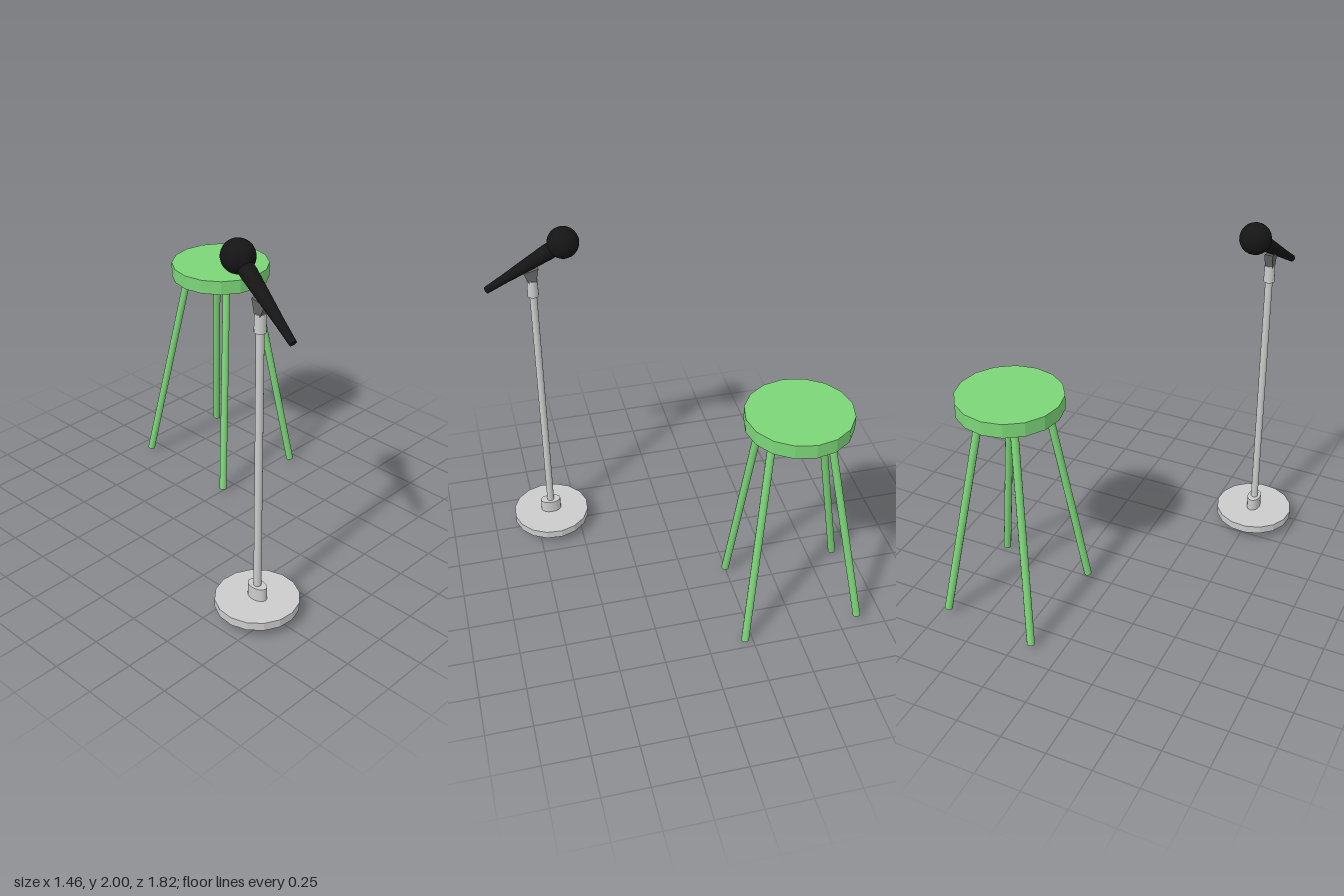
import * as THREE from 'three';

const green = new THREE.MeshStandardMaterial({ color: 0x7cd678, flatShading: true });
const legGreen = new THREE.MeshStandardMaterial({ color: 0x7cd678 });
const grey = new THREE.MeshStandardMaterial({ color: 0xcccccc });
const flatGrey = new THREE.MeshStandardMaterial({ color: 0xcccccc, flatShading: true });
const darkGrey = new THREE.MeshStandardMaterial({ color: 0x666666, flatShading: true });
const black = new THREE.MeshStandardMaterial({ color: 0x151515 });
const UP = new THREE.Vector3(0, 1, 0);

function add(parent, name, geometry, material, x = 0, y = 0, z = 0) {
  const mesh = new THREE.Mesh(geometry, material);
  mesh.name = name;
  mesh.position.set(x, y, z);
  parent.add(mesh);
  return mesh;
}

// Upright cylinder between two heights
function column(parent, name, rTop, rBottom, y0, y1, sides, material) {
  const geometry = new THREE.CylinderGeometry(rTop, rBottom, y1 - y0, sides);
  return add(parent, name, geometry, material, 0, (y0 + y1) / 2, 0);
}

function createStool() {
  const stool = new THREE.Group();
  stool.name = 'stool';
  column(stool, 'seat', 0.282, 0.282, 1.235, 1.315, 16, green).position.add(new THREE.Vector3(0.424, 0, -0.528));

  // Splayed legs: [foot, top] under the seat
  const legs = [
    ['frontLeftLeg', [0.7, 0.008, -0.207], [0.522, 1.24, -0.358]],
    ['frontRightLeg', [0.15, 0.025, -0.246], [0.31, 1.24, -0.37]],
    ['backLeftLeg', [0.7, 0.046, -0.848], [0.525, 1.24, -0.66]],
    ['backRightLeg', [0.165, 0.028, -0.892], [0.315, 1.24, -0.682]],
  ];
  for (const [name, foot, top] of legs) {
    const a = new THREE.Vector3(...foot), b = new THREE.Vector3(...top);
    const axis = b.clone().sub(a);
    const leg = add(stool, name, new THREE.CylinderGeometry(0.021, 0.021, axis.length(), 12), legGreen);
    leg.position.copy(a).add(b).multiplyScalar(0.5);
    leg.quaternion.setFromUnitVectors(UP, axis.normalize());
  }
  return stool;
}

function createStand() {
  const stand = new THREE.Group();
  stand.name = 'microphoneStand';
  stand.position.set(-0.516, 0, 0.66);

  const base = column(stand, 'base', 0.22, 0.22, 0.057, 0.102, 16, flatGrey);
  base.rotation.y = 0.12;
  // Oval collar where the pole meets the base
  column(stand, 'collar', 0.037, 0.037, 0.1, 0.175, 16, grey).scale.z = 1.57;
  column(stand, 'pole', 0.02, 0.02, 0.17, 1.62, 16, grey);
  column(stand, 'poleCap', 0.028, 0.03, 1.605, 1.7, 16, grey);

  // Clip flaring upward, its top sloped along the microphone (shape x runs backward)
  const profile = new THREE.Shape([
    [-0.018, 1.69], [0.018, 1.69], [0.036, 1.772], [-0.044, 1.752],
  ].map(([x, y]) => new THREE.Vector2(x, y)));
  const clip = new THREE.ExtrudeGeometry(profile, { depth: 0.044, bevelEnabled: false });
  clip.translate(0, 0, -0.022);
  clip.rotateY(Math.PI / 2);
  add(stand, 'clip', clip, darkGrey);
  return stand;
}

function createMicrophone() {
  const mic = new THREE.Group();
  mic.name = 'microphone';
  const tail = new THREE.Vector3(-0.561, 1.645, 0.9);
  const head = new THREE.Vector3(-0.484, 1.918, 0.489);
  const axis = head.clone().sub(tail);
  const length = axis.length();

  // Local y runs from the tail to the centre of the head
  mic.position.copy(tail);
  mic.quaternion.setFromUnitVectors(UP, axis.normalize());
  const profile = [
    [0, 0], [0.019, 0], [0.019, 0], [0.025, 0.13], [0.03, 0.2], [0.043, 0.4], [0.043, 0.4], [0.04, length],
  ].map(([r, y]) => new THREE.Vector2(r, y));
  add(mic, 'handle', new THREE.LatheGeometry(profile, 20), black);
  add(mic, 'head', new THREE.SphereGeometry(0.084, 24, 16), black, 0, length, 0);
  return mic;
}

export function createModel() {
  const model = new THREE.Group();
  model.name = 'stageSet';
  model.add(createStool(), createStand(), createMicrophone());
  return model;
}
